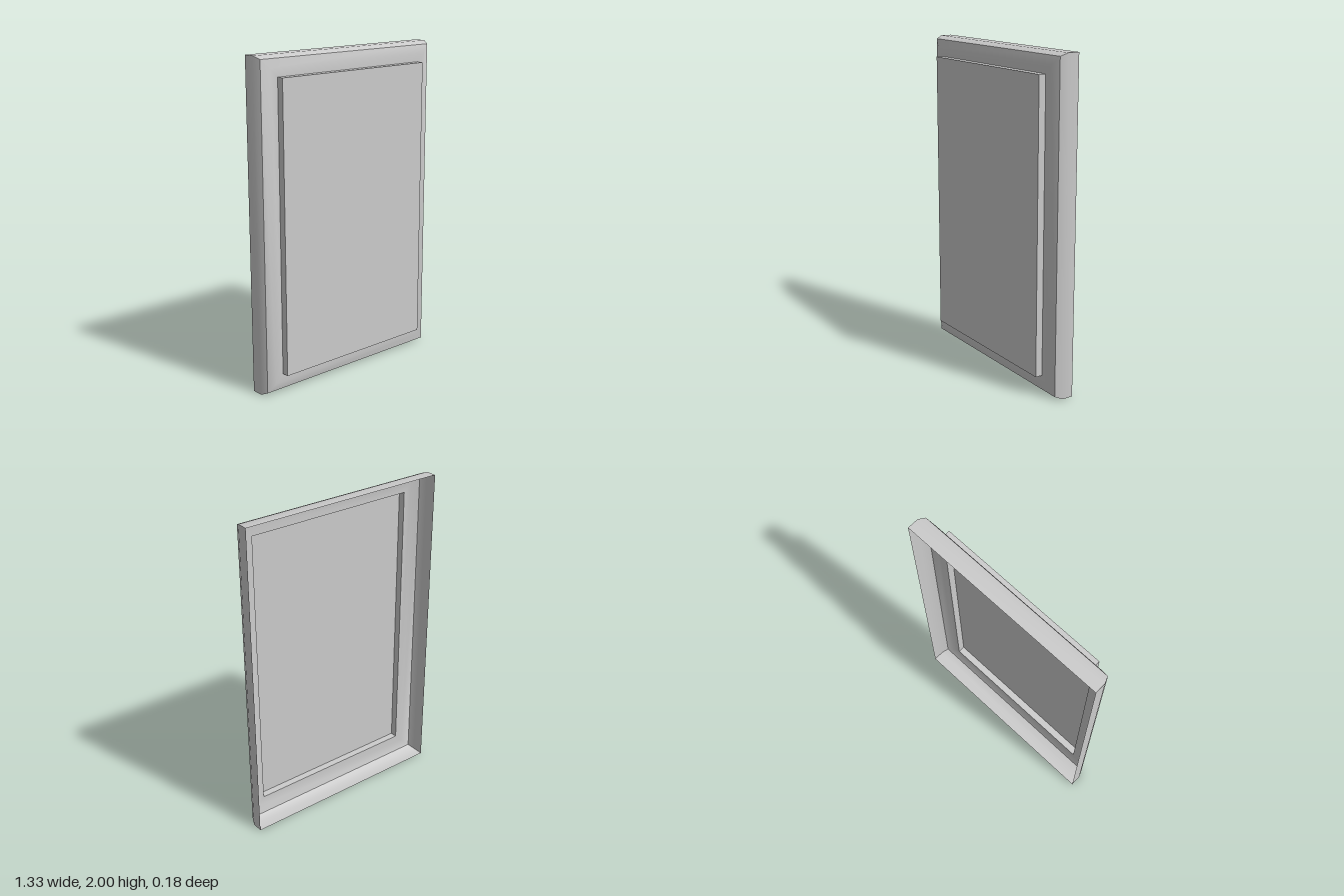
import * as THREE from 'three';
import { toCreasedNormals } from 'three/addons/utils/BufferGeometryUtils.js';

const HALF_W = 0.665, HALF_H = 1;

// Shell of nested rectangles; each profile point is [inset from outer edge, z]
function rectShell(profile, capped) {
  const positions = [], index = [];
  for (const [inset, z] of profile) {
    const x = HALF_W - inset, y = HALF_H - inset;
    positions.push(-x, 1 - y, z, x, 1 - y, z, x, 1 + y, z, -x, 1 + y, z);
  }
  for (let k = 0; k < profile.length - 1; k++) {
    for (let i = 0; i < 4; i++) {
      const j = (i + 1) % 4;
      const a = k * 4 + i, b = k * 4 + j, c = b + 4, d = a + 4;
      index.push(a, b, c, a, c, d);
    }
  }
  if (capped) {
    const n = (profile.length - 1) * 4;
    index.push(n, n + 1, n + 2, n, n + 2, n + 3);
  }
  const geometry = new THREE.BufferGeometry();
  geometry.setAttribute('position', new THREE.Float32BufferAttribute(positions, 3));
  geometry.setIndex(index);
  return toCreasedNormals(geometry, 0.7);
}

export function createModel() {
  const group = new THREE.Group();
  group.name = 'framedPanel';
  const material = new THREE.MeshStandardMaterial({ color: 0xcccccc, side: THREE.DoubleSide });

  const add = (name, geometry) => {
    const mesh = new THREE.Mesh(geometry, material);
    mesh.name = name;
    group.add(mesh);
  };

  // Moulded frame, hollow and open at the back
  add('frame', rectShell([
    [0, -0.088], [0, -0.018], [0.018, 0.025], [0.068, 0.044], [0.12, 0.044],
  ], false));

  // Raised centre panel, also hollow behind
  add('panel', rectShell([[0.12, 0.044], [0.12, 0.088]], true));

  return group;
}
